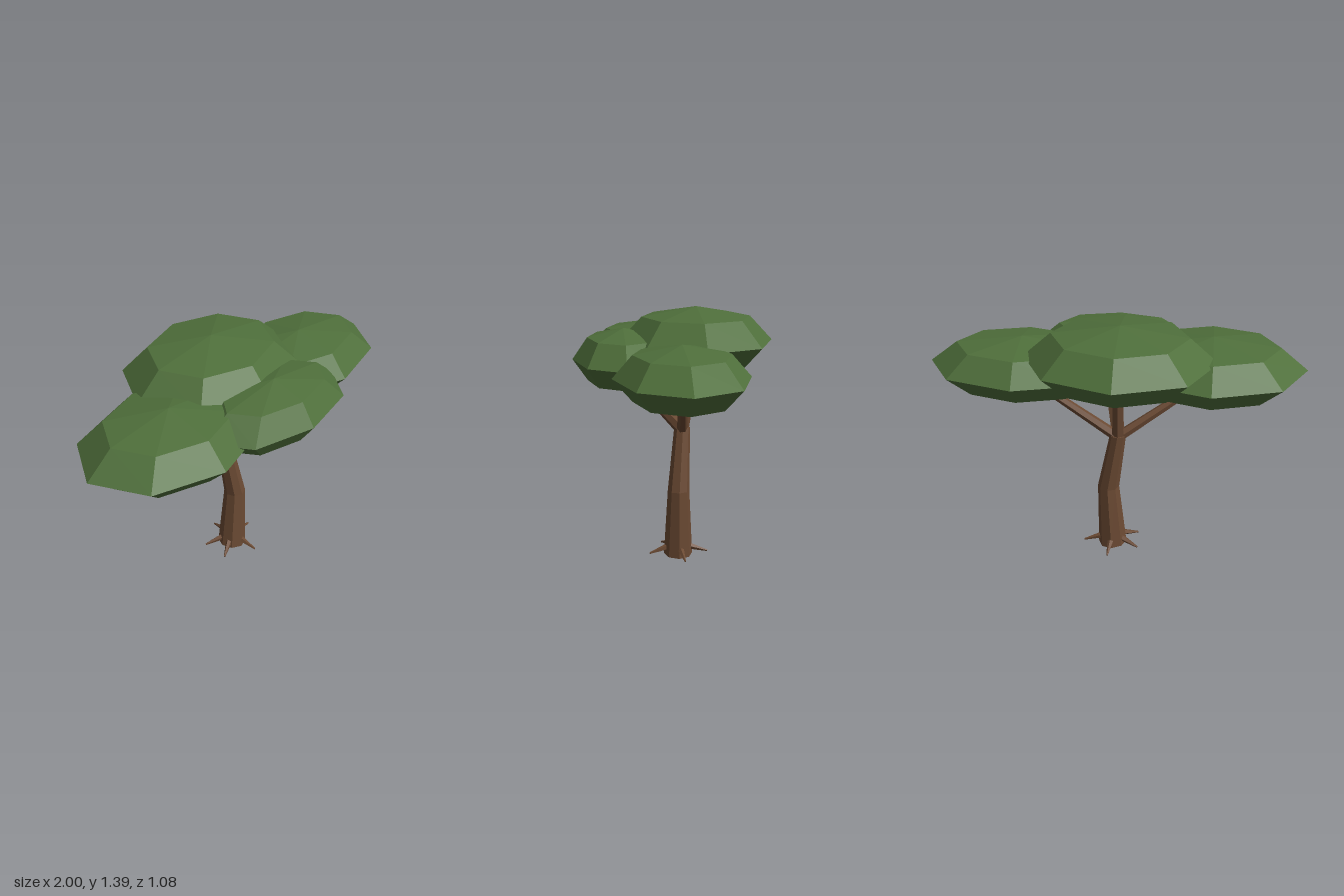
import * as THREE from 'three';

const bark = new THREE.MeshStandardMaterial({ color: 0x6b4a33, flatShading: true });
bark.name = 'bark brown';
const leaf = new THREE.MeshStandardMaterial({ color: 0x4f6f3b, flatShading: true });
leaf.name = 'leaf green';

const vec = (p) => new THREE.Vector3(...p);

// Tapered limb between two points
function limb(name, from, to, r0, r1, sides = 6) {
  const a = vec(from), b = vec(to);
  const dir = b.clone().sub(a);
  const mesh = new THREE.Mesh(new THREE.CylinderGeometry(r1, r0, dir.length(), sides), bark);
  mesh.position.copy(a).add(b).multiplyScalar(0.5);
  mesh.quaternion.setFromUnitVectors(new THREE.Vector3(0, 1, 0), dir.normalize());
  mesh.name = name;
  return mesh;
}

// Bent trunk: a cylinder whose three rings are moved to x, y, z and radius r
function trunk() {
  const rings = [
    { x: 0.02, y: 0.007, z: -0.025, r: 0.08 },
    { x: 0.043, y: 0.385, z: -0.025, r: 0.06 },
    { x: -0.013, y: 0.73, z: -0.05, r: 0.044 },
  ];
  const geo = new THREE.CylinderGeometry(1, 1, 2, 8, 2);
  const pos = geo.attributes.position;
  for (let i = 0; i < pos.count; i++) {
    const level = Math.round(pos.getY(i)) + 1;
    const { x, y, z, r } = rings[level];
    const px = pos.getX(i), pz = pos.getZ(i);
    const tilt = level === 0 ? -0.007 * px : 0; // sloping foot
    pos.setXYZ(i, x + px * r, y + tilt, z + pz * r);
  }
  geo.computeVertexNormals();
  const mesh = new THREE.Mesh(geo, bark);
  mesh.name = 'trunk';
  return mesh;
}

export function createModel() {
  const tree = new THREE.Group();
  tree.name = 'tree';
  tree.add(trunk());

  // Branches fanning out from the trunk top into each leaf crown
  const fork = [-0.013, 0.715, -0.05];
  tree.add(
    limb('leftBranch', fork, [0.5, 1.04, 0.0], 0.03, 0.018),
    limb('rightBranch', fork, [-0.5, 1.04, 0.08], 0.03, 0.018),
    limb('frontBranch', fork, [0.085, 1.05, 0.24], 0.034, 0.024),
    limb('backBranch', fork, [-0.02, 1.1, -0.12], 0.036, 0.026),
  );

  // Thin roots around the foot
  const roots = new THREE.Group();
  roots.name = 'roots';
  for (const deg of [-8, 80, 150, 205, 275]) {
    const c = Math.cos(deg * Math.PI / 180), s = Math.sin(deg * Math.PI / 180);
    const at = (r, y) => [0.02 + c * r, y, -0.025 + s * r];
    roots.add(limb('root', at(0.06, 0.05), at(0.165, 0.02), 0.019, 0.005, 5));
  }
  tree.add(roots);

  // Flattened faceted leaf crowns: centre and half sizes
  const crowns = [
    ['rightCrown', [-0.5, 1.1, 0.075], [0.5, 0.17, 0.385]],
    ['leftCrown', [0.5, 1.1, 0.005], [0.5, 0.16, 0.34]],
    ['frontCrown', [0.02, 1.122, 0.268], [0.46, 0.162, 0.27]],
    ['backCrown', [-0.03, 1.207, -0.125], [0.5, 0.183, 0.415]],
  ];
  for (const [name, centre, size] of crowns) {
    const geo = new THREE.SphereGeometry(1, 8, 4);
    geo.scale(...size);
    const crown = new THREE.Mesh(geo, leaf);
    crown.position.set(...centre);
    crown.name = name;
    tree.add(crown);
  }
  return tree;
}
